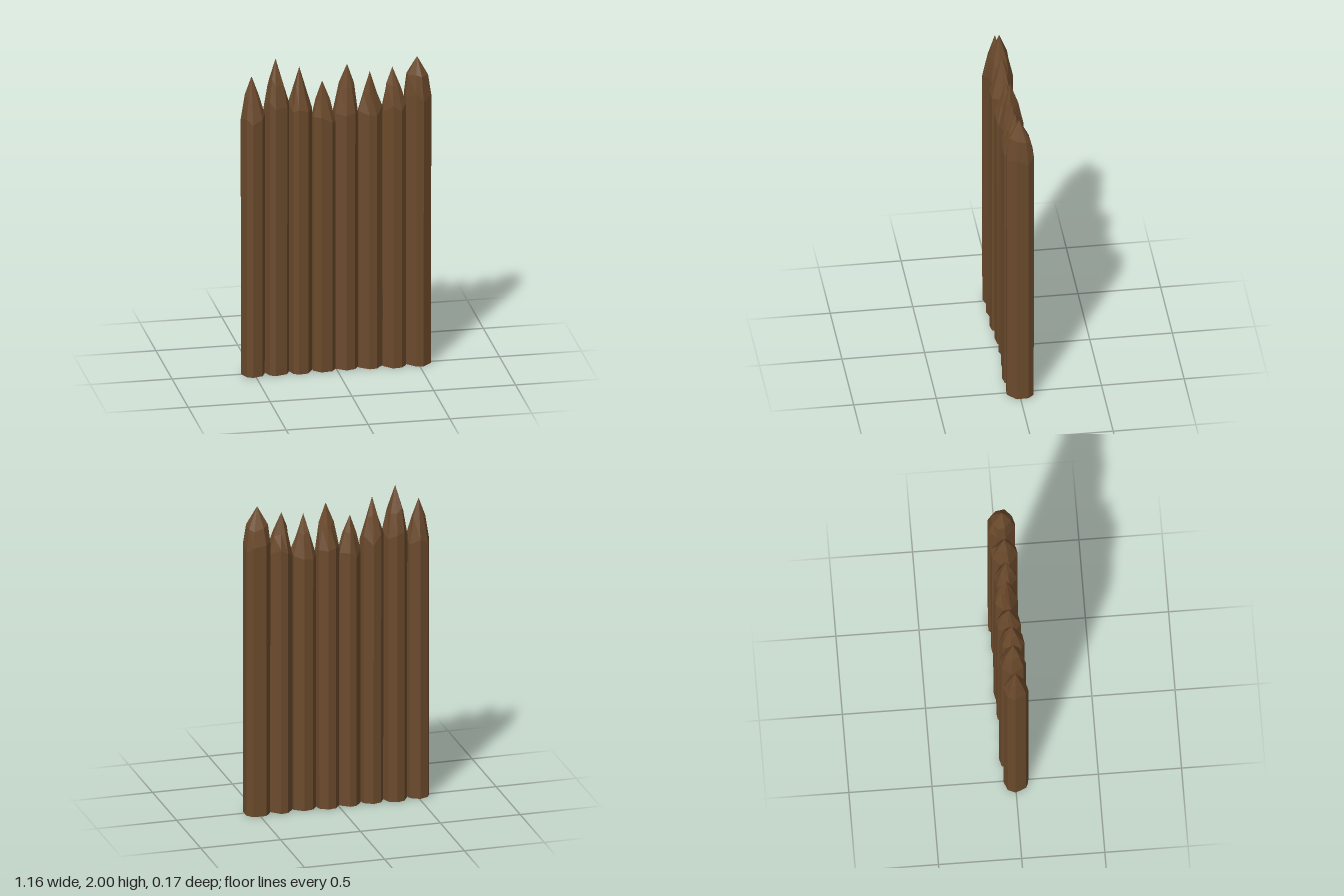
import * as THREE from 'three';

// x, z, half width, half depth, shoulder height, tip height, tip x, point fullness
const STAKES = [
  [-0.508, 0.003, 0.072, 0.075, 1.64, 1.90, -0.515, 0.58],
  [-0.362, -0.006, 0.077, 0.081, 1.71, 2.00, -0.367, 0.66],
  [-0.218, 0.0, 0.073, 0.075, 1.68, 1.94, -0.223, 0.58],
  [-0.075, -0.008, 0.071, 0.073, 1.60, 1.84, -0.083, 0.52],
  [0.063, -0.014, 0.073, 0.074, 1.65, 1.935, 0.07, 0.56],
  [0.208, -0.003, 0.075, 0.069, 1.63, 1.88, 0.208, 0.54],
  [0.354, 0.0, 0.073, 0.080, 1.66, 1.90, 0.345, 0.58],
  [0.501, -0.005, 0.078, 0.082, 1.71, 1.955, 0.497, 0.74],
];
const SIDES = 8;

function seeded(seed) {
  let s = seed * 7919 + 17;
  return () => (s = (s * 16807) % 2147483647) / 2147483647;
}

// Irregular polygon filling the square from -1 to 1
function roughRing(rand) {
  const turn = rand() * 0.8;
  const pts = Array.from({ length: SIDES }, (_, i) => {
    const a = ((i + (rand() - 0.5) * 0.4) / SIDES) * Math.PI * 2 + turn;
    return new THREE.Vector2(Math.cos(a), Math.sin(a));
  });
  const box = new THREE.Box2().setFromPoints(pts);
  const mid = box.getCenter(new THREE.Vector2());
  const half = box.getSize(new THREE.Vector2()).multiplyScalar(0.5);
  return pts.map((p) => p.sub(mid).divide(half));
}

function stakeGeometry([x, z, rx, rz, shoulder, tip, tipX, full], seed) {
  const rand = seeded(seed);
  const ring = roughRing(rand);
  const at = (p, k, y, cx = x) => new THREE.Vector3(cx + p.x * rx * k, y, z + p.y * rz * k);

  // Foot, uneven shoulder and hewn upper facets
  const foot = ring.map((p) => at(p, 0.985, 0));
  const top = ring.map((p) => at(p, 1, shoulder + (rand() - 0.5) * 0.07));
  const mid = ring.map((p) => at(p, full + (rand() - 0.5) * 0.14,
    shoulder + (tip - shoulder) * (0.5 + (rand() - 0.5) * 0.2), (x + tipX) / 2));
  const apex = new THREE.Vector3(tipX, tip, z * 0.5);
  const base = new THREE.Vector3(x, 0, z);

  const tris = [];
  const band = (a, b, i, j) => tris.push(a[i], b[i], b[j], a[i], b[j], a[j]);
  for (let i = 0; i < SIDES; i++) {
    const j = (i + 1) % SIDES;
    band(foot, top, i, j);
    band(top, mid, i, j);
    tris.push(mid[i], apex, mid[j], base, foot[i], foot[j]);
  }
  const geometry = new THREE.BufferGeometry().setFromPoints(tris);
  geometry.computeVertexNormals(); // unshared corners give flat facets
  return geometry;
}

export function createModel() {
  const wood = new THREE.MeshStandardMaterial({ color: 0x6b4a2c });
  wood.name = 'brown wood';
  const palisade = new THREE.Group();
  palisade.name = 'palisade';
  STAKES.forEach((stake, i) => {
    const mesh = new THREE.Mesh(stakeGeometry(stake, i + 1), wood);
    mesh.name = `stake${i + 1}`;
    palisade.add(mesh);
  });
  return palisade;
}
